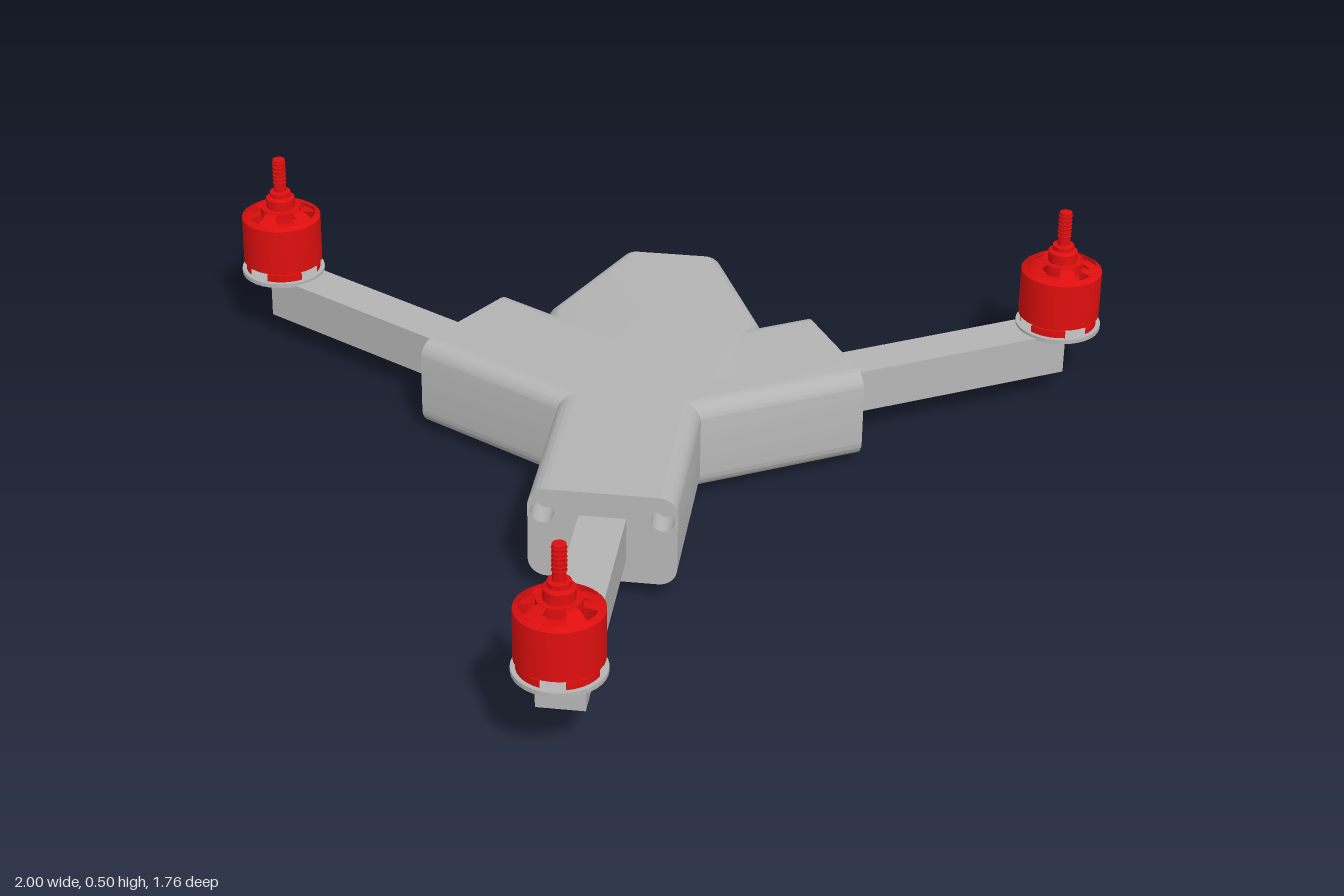
import * as THREE from 'three';
import { toCreasedNormals } from 'three/addons/utils/BufferGeometryUtils.js';

const HUB_Z = -0.255;            // point where the three arms meet
const BOTTOM = 0.033, TOP = 0.242;

const grey = new THREE.MeshStandardMaterial({ color: 0xb4b4b4 });
grey.name = 'bodyGrey';
const red = new THREE.MeshStandardMaterial({ color: 0xdd0e0e, side: THREE.DoubleSide });
red.name = 'motorRed';

function add(parent, name, geometry, material) {
  const mesh = new THREE.Mesh(geometry, material);
  mesh.name = name;
  parent.add(mesh);
  return mesh;
}

// Upright cross-section of the shell with rounded corners
function section(hw, r = 0.04) {
  const s = new THREE.Shape();
  s.moveTo(-hw + r, BOTTOM);
  s.lineTo(hw - r, BOTTOM);
  s.absarc(hw - r, BOTTOM + r, r, -Math.PI / 2, 0);
  s.lineTo(hw, TOP - r);
  s.absarc(hw - r, TOP - r, r, 0, Math.PI / 2);
  s.lineTo(-hw + r, TOP);
  s.absarc(-hw + r, TOP - r, r, Math.PI / 2, Math.PI);
  s.lineTo(-hw, BOTTOM + r);
  s.absarc(-hw + r, BOTTOM + r, r, Math.PI, Math.PI * 1.5);
  return s;
}

function extrude(shape, depth, steps = 1) {
  return new THREE.ExtrudeGeometry(shape, { depth, steps, bevelEnabled: false, curveSegments: 8 });
}

// Turned part, optionally only a sector of the full turn
function turned(points, start = 0, length = Math.PI * 2) {
  const pts = points.map(([r, y]) => new THREE.Vector2(r, y));
  const segments = Math.max(4, Math.round(length / (Math.PI * 2) * 32));
  return toCreasedNormals(new THREE.LatheGeometry(pts, segments, start, length), 0.5);
}

function makeMotor() {
  const motor = new THREE.Group();
  motor.name = 'motor';
  // mounting disc
  const disc = add(motor, 'mountDisc', new THREE.CylinderGeometry(0.096, 0.096, 0.01, 32), grey);
  disc.position.y = 0.003;
  // stator with four feet
  add(motor, 'stator', turned([[0, 0.008], [0.042, 0.008], [0.042, 0.12], [0, 0.12]]), red);
  for (let i = 0; i < 4; i++) {
    add(motor, 'foot', turned([[0.04, 0.007], [0.086, 0.007], [0.086, 0.024], [0.04, 0.024]],
      i * Math.PI / 2 + 0.3, 0.97), red);
  }
  // bell wall and rim
  add(motor, 'bell', turned([[0.082, 0.03], [0.091, 0.03], [0.091, 0.14], [0.079, 0.148],
    [0.079, 0.138], [0.082, 0.135], [0.082, 0.03]]), red);
  // five spokes between rim and hub
  for (let i = 0; i < 5; i++) {
    add(motor, 'spoke', turned([[0.03, 0.148], [0.081, 0.134], [0.081, 0.147],
      [0.055, 0.163], [0.03, 0.163], [0.03, 0.148]],
    (i + 0.5) * Math.PI * 0.4 - 0.25, 0.5), red);
  }
  // hub, collar and shaft
  add(motor, 'hubAndShaft', turned([[0, 0.12], [0.046, 0.14], [0.046, 0.164], [0.033, 0.164],
    [0.033, 0.187], [0.024, 0.192], [0.024, 0.202], [0.014, 0.204], [0.014, 0.283], [0, 0.285]]), red);
  // thread ridges on the shaft
  for (let i = 0; i < 6; i++) {
    const ridge = add(motor, 'threadRidge', new THREE.TorusGeometry(0.0135, 0.0025, 6, 20), red);
    ridge.rotation.x = Math.PI / 2;
    ridge.position.y = 0.225 + i * 0.01;
  }
  return motor;
}

export function createModel() {
  const model = new THREE.Group();
  model.name = 'tricopter';
  const frame = new THREE.Group();
  frame.name = 'frame';
  frame.rotation.x = -0.037;     // slightly nose-up stance
  model.add(frame);

  // three identical branches around the hub
  for (let i = 0; i < 3; i++) {
    const branch = new THREE.Group();
    branch.name = ['frontBranch', 'leftBranch', 'rightBranch'][i];
    branch.position.z = HUB_Z;
    branch.rotation.y = i * Math.PI * 2 / 3;
    frame.add(branch);

    const shellLength = i === 0 ? 0.419 : 0.479;
    add(branch, 'shell', toCreasedNormals(extrude(section(0.157), shellLength), 0.6), grey);
    if (i === 0) {
      // front end with two round sockets
      const face = section(0.157);
      for (const side of [-1, 1]) {
        const hole = new THREE.Path();
        hole.absarc(side * 0.126, 0.187, 0.025, 0, Math.PI * 2, true);
        face.holes.push(hole);
      }
      const cap = add(branch, 'shellFront', toCreasedNormals(extrude(face, 0.06), 0.6), grey);
      cap.position.z = shellLength;
    }

    const arm = add(branch, 'arm', new THREE.BoxGeometry(0.1, 0.1, 0.635), grey);
    arm.position.set(0, 0.136, 0.7185);

    const motor = makeMotor();
    motor.position.set(0, 0.184, 1.042);
    branch.add(motor);
  }

  // tail of the shell, widening from the rear face towards the hub
  const tail = extrude(section(0.12), 0.58, 2);
  const p = tail.attributes.position;
  for (let i = 0; i < p.count; i++) {
    const widen = 0.122 * Math.min(1, p.getZ(i) / 0.29);
    p.setX(i, p.getX(i) + Math.sign(p.getX(i)) * widen);
  }
  add(frame, 'tailShell', toCreasedNormals(tail, 0.6), grey).position.z = -0.876;

  return model;
}
